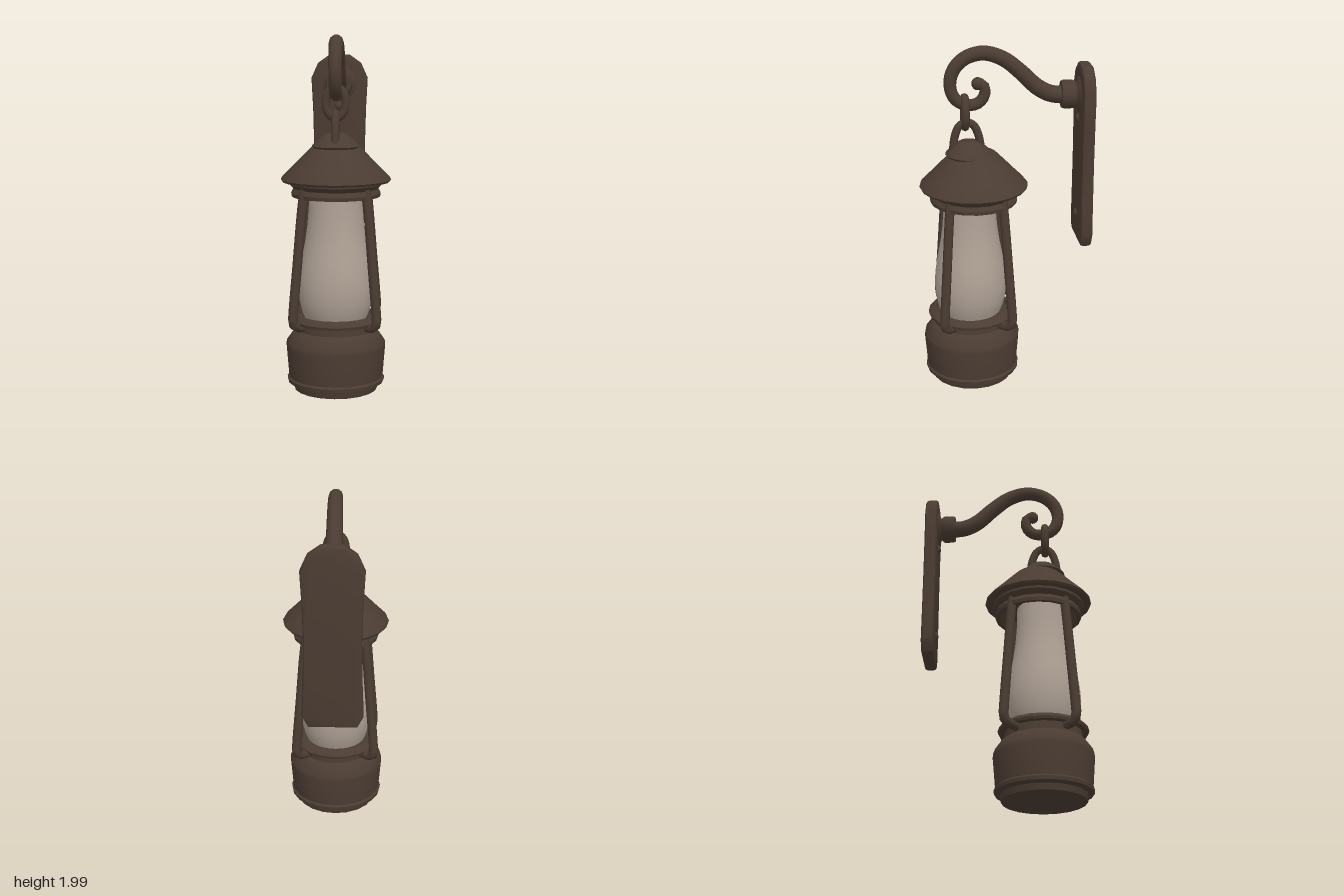
import * as THREE from 'three';
import { toCreasedNormals } from 'three/addons/utils/BufferGeometryUtils.js';

const bronze = new THREE.MeshStandardMaterial({ color: 0x4b3c32 });
bronze.name = 'darkBronze';
const frosted = new THREE.MeshStandardMaterial({ color: 0xafa195 });
frosted.name = 'frostedGlass';

const SIDES = 20;
const v3 = (x, y, z) => new THREE.Vector3(x, y, z);

function add(parent, name, geometry, material = bronze) {
  const mesh = new THREE.Mesh(geometry, material);
  mesh.name = name;
  parent.add(mesh);
  return mesh;
}

// Turned part from [radius, height] pairs, listed from the underside up
function turned(profile, sides = SIDES, crease = 0.65) {
  const points = profile.map(([r, y]) => new THREE.Vector2(r, y));
  return toCreasedNormals(new THREE.LatheGeometry(points, sides), crease);
}

// Round bar along a smooth path, tapering from r0 to r1
function bar(points, r0, r1, steps, sides = 8, closed = false) {
  const curve = new THREE.CatmullRomCurve3(points, closed);
  const geometry = new THREE.TubeGeometry(curve, steps, 1, sides, closed);
  const pos = geometry.attributes.position;
  const p = v3(0, 0, 0);
  for (let i = 0; i <= steps; i++) {
    const centre = curve.getPointAt(closed ? (i % steps) / steps : i / steps);
    const r = THREE.MathUtils.lerp(r0, r1, i / steps);
    for (let j = 0; j <= sides; j++) {
      const k = i * (sides + 1) + j;
      p.fromBufferAttribute(pos, k).sub(centre).multiplyScalar(r).add(centre);
      pos.setXYZ(k, p.x, p.y, p.z);
    }
  }
  return geometry;
}

function buildWallMount() {
  const mount = new THREE.Group();
  mount.name = 'wallMount';

  // Back plate with clipped corners and a slight waist
  const half = [[0.06, 1.88], [0.13, 1.83], [0.17, 1.74], [0.16, 1.55], [0.155, 1.35],
    [0.16, 1.1], [0.168, 0.91], [0.135, 0.845]];
  const outline = [...half, ...half.map(([x, y]) => [-x, y]).reverse()].reverse();
  const plate = new THREE.ExtrudeGeometry(
    new THREE.Shape(outline.map(([x, y]) => new THREE.Vector2(x, y))),
    { depth: 0.034, bevelThickness: 0.018, bevelSize: 0.016, bevelOffset: -0.016, bevelSegments: 2 });
  plate.translate(0, 0, -0.464);
  add(mount, 'backPlate', toCreasedNormals(plate, 0.6));

  // Bolts above and below
  for (const y of [1.57, 1.0]) {
    const bolt = new THREE.SphereGeometry(0.027, 10, 6);
    bolt.scale(1, 1, 0.6);
    add(mount, 'bolt', bolt).position.set(0, y, -0.412);
  }

  // Collar holding the arm
  const collar = turned([[0.11, -0.42], [0.1, -0.41], [0.065, -0.395], [0.075, -0.385], [0.08, -0.375],
    [0.08, -0.325], [0.074, -0.312], [0, -0.31]], 16);
  collar.rotateX(Math.PI / 2);
  add(mount, 'collar', collar).position.y = 1.71;

  // Swan-neck arm ending in a curled hook
  const path = [[-0.38, 1.71], [-0.26, 1.715], [-0.18, 1.755], [-0.09, 1.84], [0.01, 1.92], [0.12, 1.955],
    [0.22, 1.93], [0.285, 1.865], [0.305, 1.78], [0.28, 1.705], [0.22, 1.668], [0.155, 1.673],
    [0.115, 1.72], [0.12, 1.775], [0.155, 1.79]];
  add(mount, 'hookArm', bar(path.map(([z, y]) => v3(0, y, z)), 0.05, 0.03, 56, 10));
  add(mount, 'hookTip', new THREE.SphereGeometry(0.036, 10, 8)).position.set(0, 1.785, 0.152);
  return mount;
}

function buildChain() {
  const chain = new THREE.Group();
  chain.name = 'chain';
  // Oval link hanging on the hook
  const oval = [];
  for (let i = 0; i < 12; i++) {
    const a = i / 12 * Math.PI * 2;
    oval.push(v3(0.055 * Math.cos(a), 1.625 + 0.085 * Math.sin(a), 0.225));
  }
  add(chain, 'link', bar(oval, 0.023, 0.023, 28, 8, true));
  // Bail rising from the roof cap
  const bail = [[0.295, 1.4], [0.282, 1.49], [0.255, 1.55], [0.215, 1.567], [0.178, 1.55],
    [0.15, 1.49], [0.135, 1.4]];
  add(chain, 'bail', bar(bail.map(([z, y]) => v3(0, y, z)), 0.023, 0.023, 24));
  return chain;
}

function buildLantern() {
  const lantern = new THREE.Group();
  lantern.name = 'lantern';

  // Fuel base with recessed underside, shoulder, neck and glass seat
  add(lantern, 'base', turned([[0, 0.03], [0.17, 0.025], [0.205, 0.005], [0.235, 0.01], [0.242, 0.045],
    [0.272, 0.055], [0.275, 0.075], [0.266, 0.085], [0.28, 0.26], [0.278, 0.285], [0.235, 0.345],
    [0.22, 0.355], [0.215, 0.4]])).position.z = 0.2;
  add(lantern, 'seatRing', turned([[0.21, 0.4], [0.25, 0.4], [0.254, 0.415], [0.235, 0.437], [0.215, 0.442],
    [0.205, 0.425], [0, 0.42]])).position.z = 0.2;

  // Pear-shaped glass chimney
  add(lantern, 'glass', turned([[0.17, 0.41], [0.19, 0.46], [0.204, 0.52], [0.209, 0.6], [0.204, 0.67],
    [0.19, 0.76], [0.172, 0.85], [0.158, 0.95], [0.15, 1.05], [0.147, 1.18]], 28, 1), frosted).position.z = 0.205;

  // Four splayed posts, hooked inward at the foot
  for (const sx of [-1, 1]) {
    for (const sz of [-1, 1]) {
      const post = [[0.165, 0.145, 1.17], [0.18, 0.155, 1.05], [0.205, 0.175, 0.75], [0.228, 0.193, 0.47],
        [0.229, 0.194, 0.42], [0.215, 0.18, 0.395], [0.15, 0.12, 0.385]];
      add(lantern, 'post', bar(post.map(([x, z, y]) => v3(sx * x, y, 0.18 + sz * z)), 0.026, 0.027, 24));
    }
  }

  // Roof: hollow collar, flared eave and cone
  add(lantern, 'roof', turned([[0, 1.16], [0.2, 1.16], [0.225, 1.105], [0.247, 1.105], [0.25, 1.125],
    [0.237, 1.15], [0.262, 1.175], [0.262, 1.19], [0.3, 1.188], [0.308, 1.2], [0.3, 1.213], [0.245, 1.268],
    [0.19, 1.325], [0.13, 1.385], [0, 1.39]], SIDES, 0.5)).position.z = 0.18;
  add(lantern, 'roofCap', turned([[0, 1.375], [0.125, 1.375], [0.133, 1.386], [0.125, 1.397], [0.07, 1.447],
    [0.05, 1.458], [0, 1.46]])).position.z = 0.205;
  return lantern;
}

export function createModel() {
  const model = new THREE.Group();
  model.name = 'wallLantern';
  model.add(buildWallMount(), buildChain(), buildLantern());
  return model;
}
